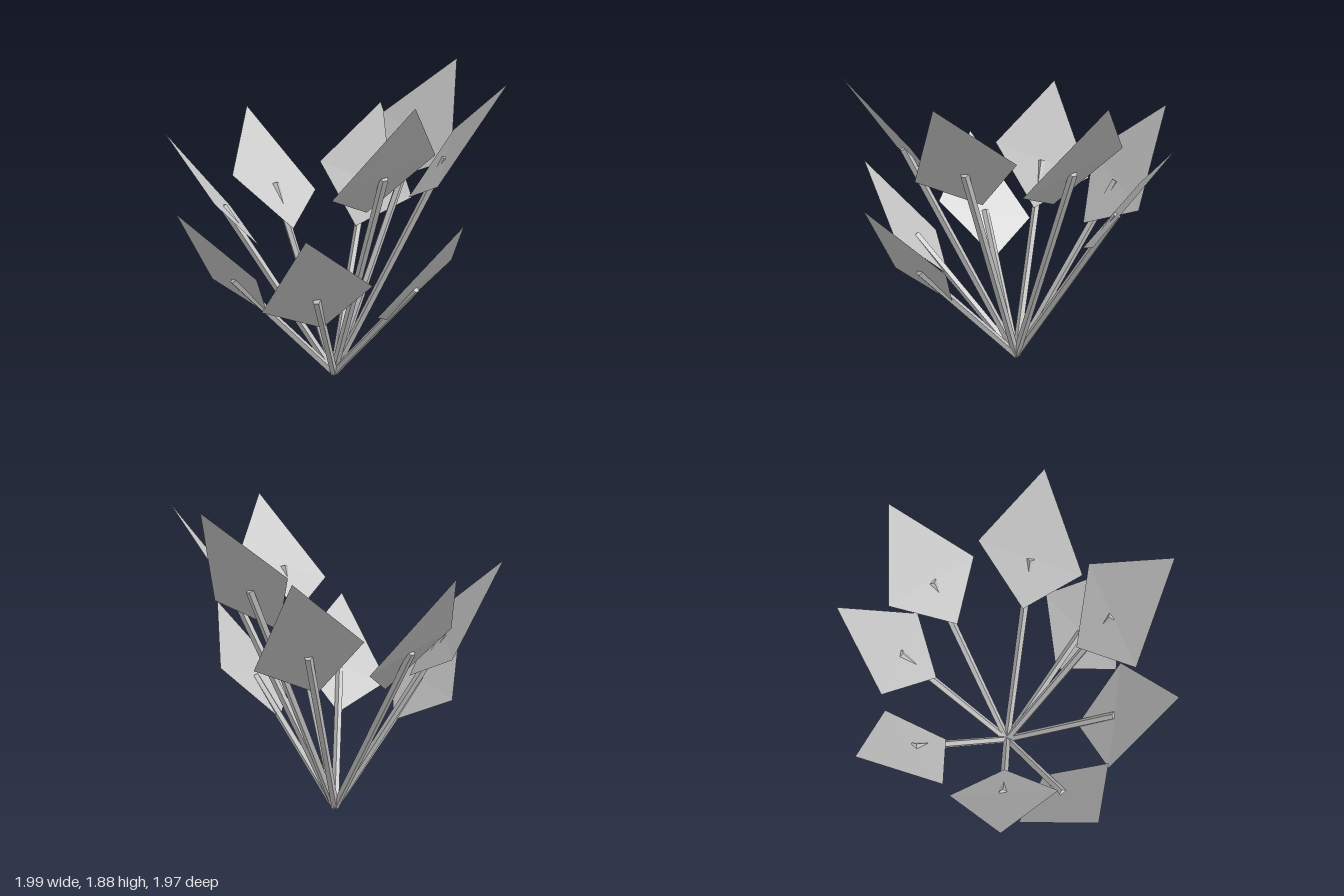
import * as THREE from 'three';

const grey = new THREE.MeshStandardMaterial({ color: 0xc2c2c2, side: THREE.DoubleSide, flatShading: true });
grey.name = 'plain grey';

// Kite leaf, slightly folded across its side corners; x points outward, origin at the stem tip
function leafGeometry() {
  const tip = [0.338, 0.445, 0], base = [-0.214, -0.255, 0];
  const low = [0, -0.095, 0.312], high = [0, 0.095, -0.312];
  const g = new THREE.BufferGeometry();
  g.setAttribute('position', new THREE.Float32BufferAttribute([tip, high, low, base, low, high].flat(), 3));
  g.computeVertexNormals();
  return g;
}

// Five-sided straight stem leaning outward, one ridge turned inward
function makeStem(reach, height) {
  const bottom = new THREE.Vector3(0, 0.015, 0);
  const top = new THREE.Vector3(reach, height, 0);
  const length = top.distanceTo(bottom);
  const g = new THREE.CylinderGeometry(0.025, 0.025, length, 5);
  g.rotateY(-Math.PI / 2);
  const stem = new THREE.Mesh(g, grey);
  stem.name = 'stem';
  stem.position.copy(bottom).add(top).multiplyScalar(0.5);
  stem.rotation.z = -Math.atan2(reach, height - bottom.y);
  return stem;
}

export function createModel() {
  const model = new THREE.Group();
  model.name = 'leafyPlant';
  const leafGeo = leafGeometry();
  const reach = 0.667;

  // Three tiers of three stalks, each tier turned by the golden angle
  for (let tier = 0; tier < 3; tier++) {
    const height = 0.75 + 0.3425 * tier;
    for (let i = 0; i < 3; i++) {
      const stalk = new THREE.Group();
      stalk.name = 'stalk';
      const leaf = new THREE.Mesh(leafGeo, grey);
      leaf.name = 'leaf';
      leaf.position.set(reach, height + 0.005, 0);
      stalk.add(makeStem(reach, height), leaf);
      stalk.rotation.y = -THREE.MathUtils.degToRad(137.5 * tier + 52.5 * i);
      stalk.position.set(-0.01, 0, 0.01);
      model.add(stalk);
    }
  }
  return model;
}
